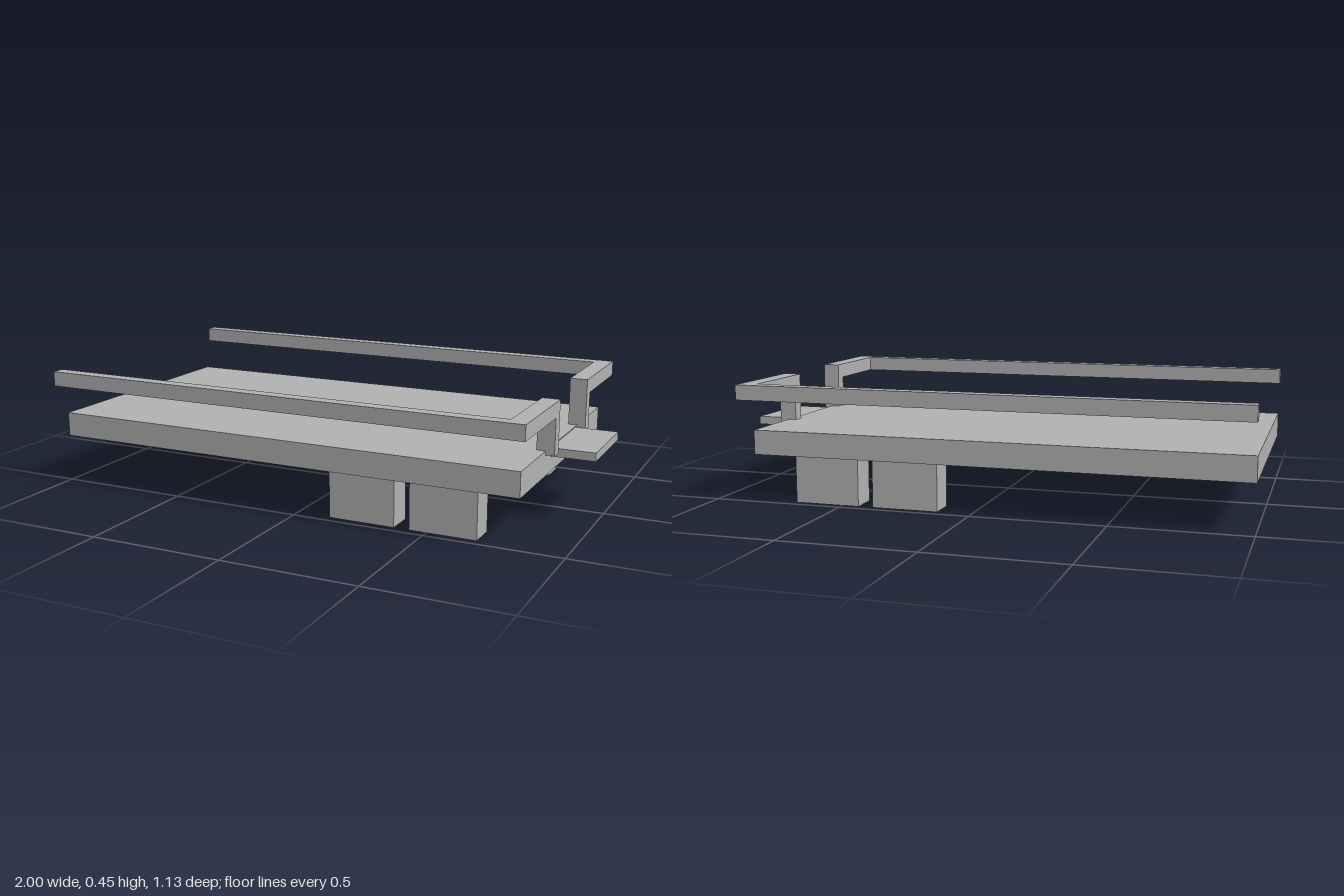
import * as THREE from 'three';

export function createModel() {
  const model = new THREE.Group();
  model.name = 'flatbedTrailer';

  const grey = new THREE.MeshStandardMaterial({ color: 0xb2b2b2 });
  grey.name = 'grey';

  // Box given by its min and max along each axis
  function addBox(name, [x0, x1], [y0, y1], [z0, z1]) {
    const mesh = new THREE.Mesh(new THREE.BoxGeometry(x1 - x0, y1 - y0, z1 - z0), grey);
    mesh.position.set((x0 + x1) / 2, (y0 + y1) / 2, (z0 + z1) / 2);
    mesh.name = name;
    model.add(mesh);
  }

  // The same box on both sides of the centre line
  function addPair(name, x, y, [z0, z1]) {
    addBox(name + 'Front', x, y, [z0, z1]);
    addBox(name + 'Back', x, y, [-z1, -z0]);
  }

  // Deck and hitch plate
  addBox('deck', [-1, 0.84], [0.179, 0.271], [-0.497, 0.497]);
  addBox('hitchPlate', [0.81, 1], [0.236, 0.267], [-0.159, 0.159]);

  // Guard rails: long side bar, end bar turning inward, upright post
  addPair('sideRail', [-1, 0.872], [0.391, 0.447], [0.517, 0.566]);
  addPair('endRail', [0.807, 0.872], [0.391, 0.447], [0.177, 0.517]);
  addPair('railPost', [0.807, 0.872], [0.256, 0.391], [0.177, 0.223]);

  // Block wheels, two per side
  for (const [name, x] of [['rearWheel', [0.129, 0.38]], ['leadWheel', [0.437, 0.686]]]) {
    addPair(name, x, [0, 0.179], [0.367, 0.469]);
  }

  return model;
}
